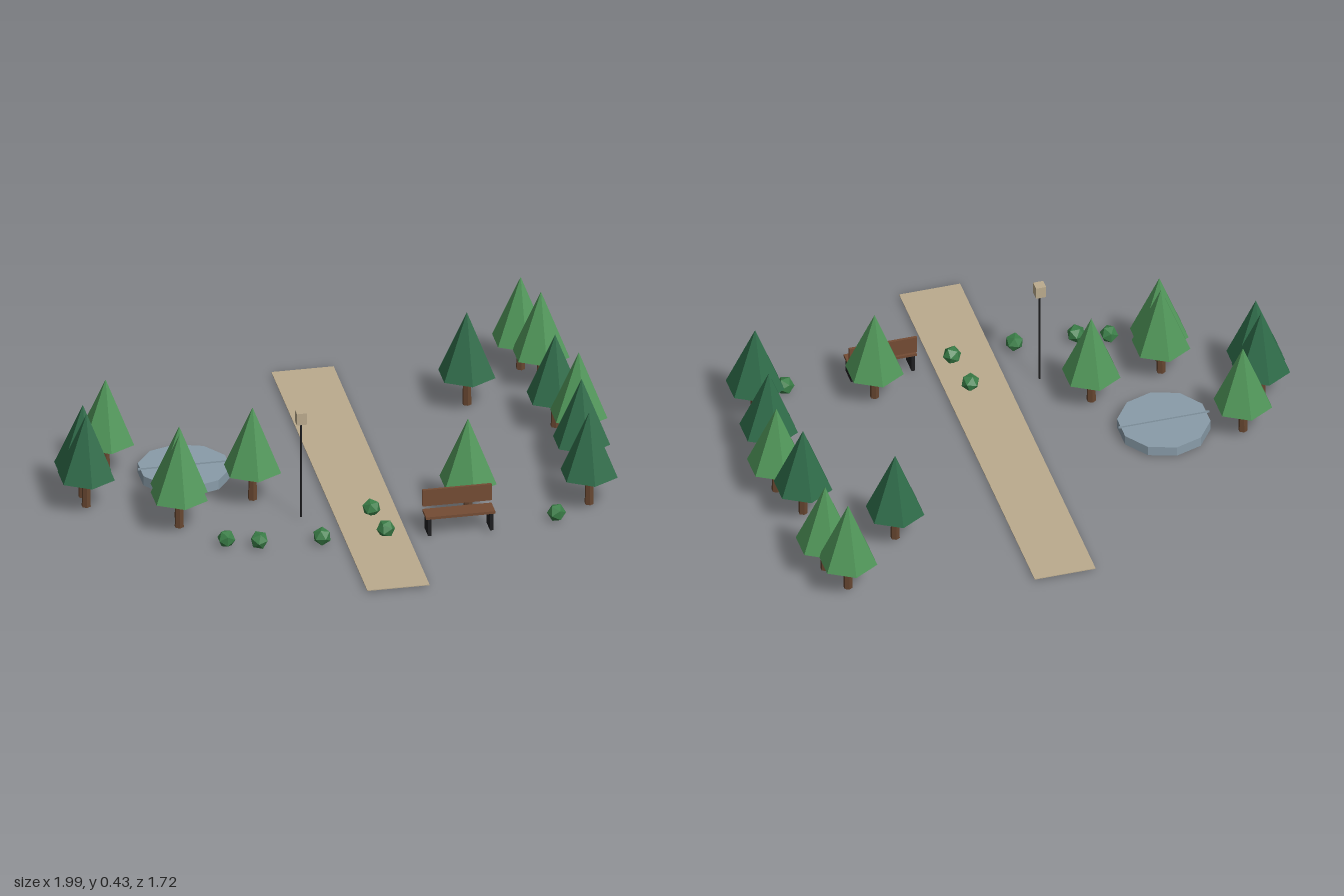
import * as THREE from 'three';

const material = (name, color) => {
  const m = new THREE.MeshStandardMaterial({ color, flatShading: true });
  m.name = name;
  return m;
};

export function createModel() {
  const park = new THREE.Group();
  park.name = 'park';

  const lightLeaf = material('light leaf green', 0x4f9558);
  const darkLeaf = material('dark leaf green', 0x2d6a48);
  const bushLeaf = material('bush green', 0x3a7d47);
  const bark = material('bark brown', 0x664630);
  const wood = material('bench wood', 0x744c34);
  const iron = material('black iron', 0x1e1e20);
  const sand = material('path sand', 0xbbab8e);
  const stone = material('pond blue grey', 0x899ca9);

  const GROUND = 0.02;

  const add = (parent, name, geometry, mat, x, y, z) => {
    const mesh = new THREE.Mesh(geometry, mat);
    mesh.name = name;
    mesh.position.set(x, y, z);
    parent.add(mesh);
    return mesh;
  };
  const group = (name, x, z) => {
    const g = new THREE.Group();
    g.name = name;
    g.position.set(x, GROUND, z);
    park.add(g);
    return g;
  };

  // Path
  add(park, 'path', new THREE.BoxGeometry(0.225, 0.003, 1.715), sand, 0.053, GROUND, 0);

  // Trees: six-sided crown on a short trunk
  const crownGeo = new THREE.ConeGeometry(0.107, 0.245, 6);
  const trunkGeo = new THREE.CylinderGeometry(0.014, 0.017, 0.12, 6);
  const trees = [
    [lightLeaf, [[0.813, -0.714], [0.861, -0.588], [0.9, -0.104], [0.414, 0.318],
      [-0.318, 0.083], [-0.602, 0.174], [-0.615, 0.24], [-0.786, -0.233]]],
    [darkLeaf, [[0.572, -0.484], [0.845, -0.254], [0.869, 0.099], [0.845, 0.353],
      [-0.904, -0.056], [-0.907, 0.02]]],
  ];
  for (const [leaf, spots] of trees) {
    for (const [x, z] of spots) {
      const tree = group('tree', x, z);
      add(tree, 'trunk', trunkGeo, bark, 0, 0.06, 0);
      add(tree, 'crown', crownGeo, leaf, 0, 0.242, 0);
    }
  }

  // Bushes
  const bushGeo = new THREE.IcosahedronGeometry(0.034, 0);
  const bushes = [[-0.478, 0.406], [-0.366, 0.44], [-0.142, 0.455],
    [0.073, 0.275], [0.091, 0.444], [0.709, 0.441]];
  bushes.forEach(([x, z], i) => {
    add(park, 'bush', bushGeo, bushLeaf, x, 0.042, z).rotation.set(i * 0.7, i * 1.3, i * 0.4);
  });

  // Pond: ten-sided basin with a thin ridge across it
  const pond = group('pond', -0.519, -0.146);
  add(pond, 'basin', new THREE.CylinderGeometry(0.166, 0.166, 0.037, 10), stone, 0, 0.0185, 0);
  add(pond, 'ridge', new THREE.BoxGeometry(0.335, 0.008, 0.003), stone, 0, 0.039, 0);

  // Lamp
  const lamp = group('lamp', -0.177, 0.253);
  add(lamp, 'lampPole', new THREE.CylinderGeometry(0.0035, 0.0035, 0.38, 6), iron, 0, 0.19, 0);
  add(lamp, 'lampHead', new THREE.BoxGeometry(0.037, 0.045, 0.037), sand, 0, 0.398, 0);

  // Bench: two side frames, seat and backrest facing the front
  const bench = group('bench', 0.353, 0.453);
  add(bench, 'seat', new THREE.BoxGeometry(0.25, 0.01, 0.068), wood, 0, 0.07, 0.002);
  add(bench, 'backrest', new THREE.BoxGeometry(0.25, 0.064, 0.01), wood, 0, 0.119, -0.032);
  for (const side of [-1, 1]) {
    add(bench, 'benchLeg', new THREE.BoxGeometry(0.012, 0.065, 0.068), iron, side * 0.112, 0.0325, 0.002);
  }

  return park;
}
